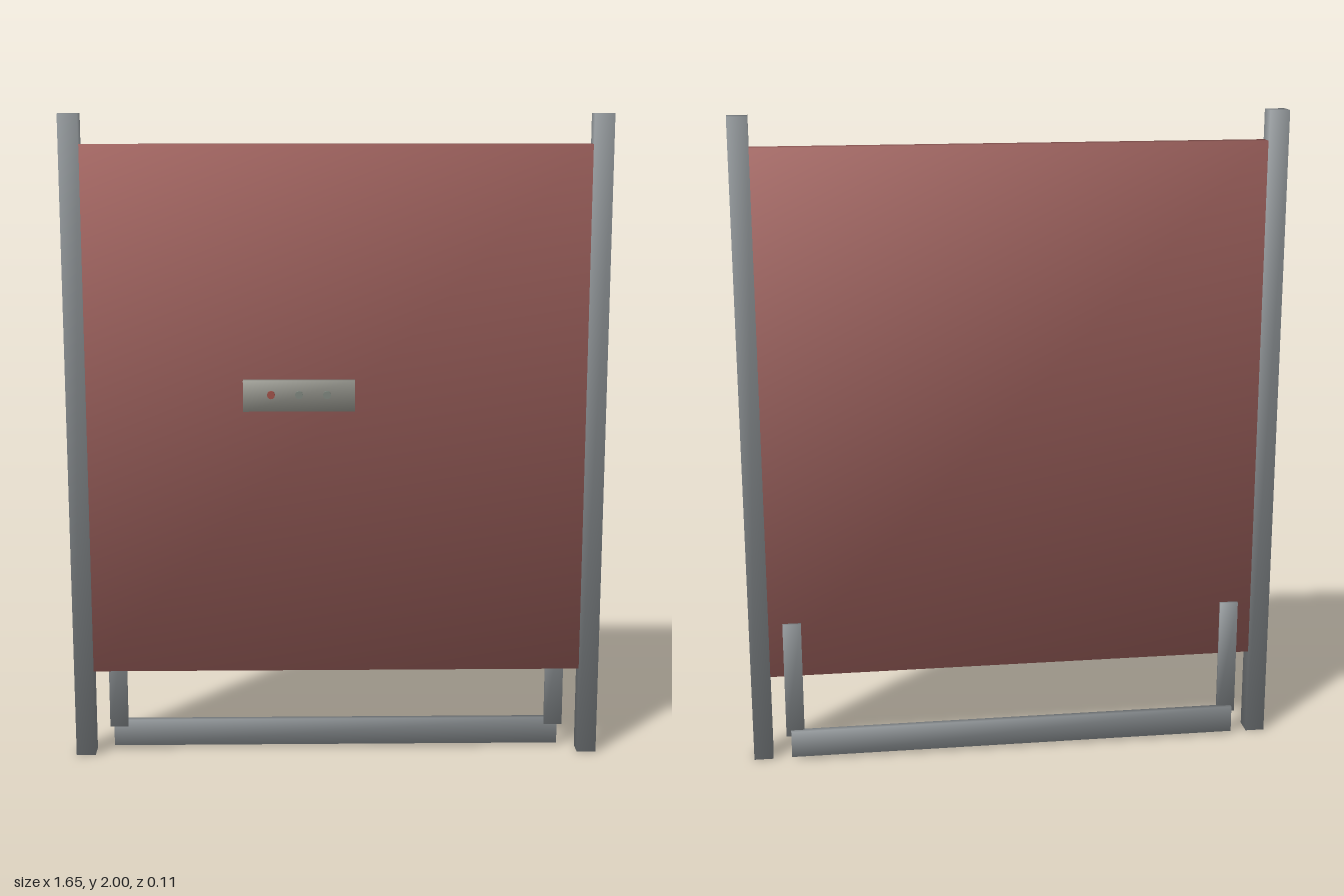
import * as THREE from 'three';

const mat = (color) => {
  const m = new THREE.MeshStandardMaterial();
  m.color.set(color);
  return m;
};

// Box given by its limits, with normals shared at the corners for soft shading
function softBox(name, [x0, x1], [y0, y1], [z0, z1], material) {
  const geo = new THREE.BoxGeometry(x1 - x0, y1 - y0, z1 - z0);
  const { position, normal } = geo.attributes;
  const v = new THREE.Vector3();
  for (let i = 0; i < position.count; i++) {
    v.fromBufferAttribute(position, i);
    v.set(Math.sign(v.x), Math.sign(v.y), Math.sign(v.z)).normalize();
    normal.setXYZ(i, v.x, v.y, v.z);
  }
  const mesh = new THREE.Mesh(geo, material);
  mesh.name = name;
  mesh.position.set((x0 + x1) / 2, (y0 + y1) / 2, (z0 + z1) / 2);
  return mesh;
}

export function createModel() {
  const model = new THREE.Group();
  model.name = 'panelOnPosts';
  const steel = mat(0x8a8f92);
  const plateMetal = mat(0x9a9a92);

  // Main panel
  model.add(softBox('panel', [-0.768, 0.768], [0.275, 1.91], [-0.032, 0.012], mat(0x9c605c)));

  // Side posts and the brackets that carry the lower bar
  for (const [side, s] of [['left', 1], ['right', -1]]) {
    const span = (a, b) => (s > 0 ? [a, b] : [-b, -a]);
    model.add(softBox(side + 'Post', span(0.765, 0.825), [0, 2], [-0.04, 0.021], steel));
    model.add(softBox(side + 'Bracket', span(0.665, 0.722), [0.075, 0.45], [-0.043, -0.03], steel));
  }

  // Lower bar
  model.add(softBox('lowerBar', [-0.71, 0.707], [0.01, 0.095], [-0.057, -0.036], steel));

  // Control plate with three round buttons
  const controls = new THREE.Group();
  controls.name = 'controls';
  controls.add(softBox('controlPlate', [-0.285, 0.055], [1.11, 1.205], [0.025, 0.046], plateMetal));
  const buttonGeo = new THREE.CylinderGeometry(0.012, 0.012, 0.016, 12).rotateX(Math.PI / 2);
  [0x9c5048, 0x7d857d, 0x7d857d].forEach((color, i) => {
    const button = new THREE.Mesh(buttonGeo, mat(color));
    button.name = 'button' + (i + 1);
    button.position.set(-0.2 + i * 0.085, 1.162, 0.049);
    controls.add(button);
  });
  model.add(controls);

  return model;
}
